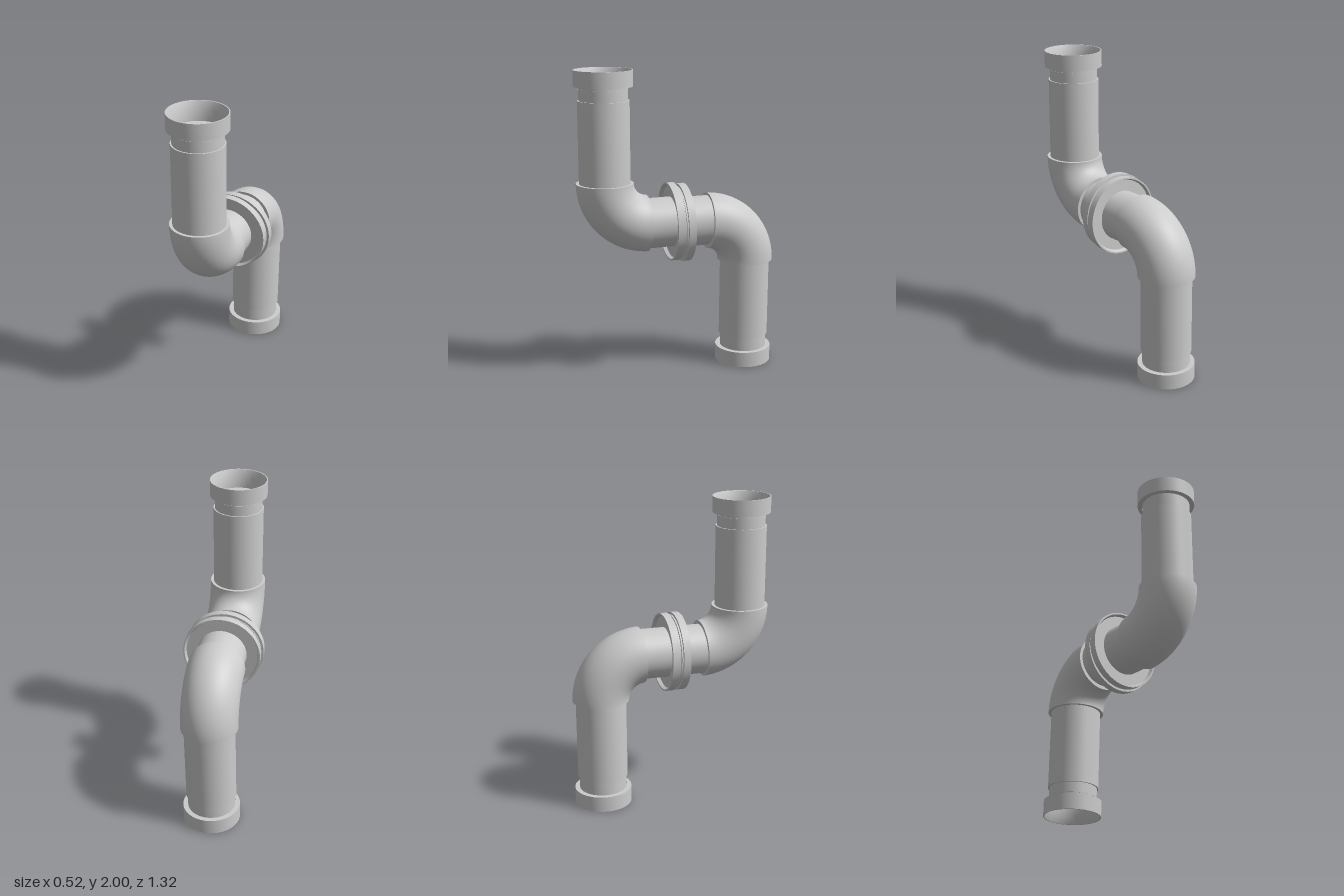
import * as THREE from 'three';
import { toCreasedNormals } from 'three/addons/utils/BufferGeometryUtils.js';

const material = new THREE.MeshStandardMaterial({ color: 0xcccccc });

function part(name, geometry, parent) {
  const mesh = new THREE.Mesh(geometry, material);
  mesh.name = name;
  parent.add(mesh);
  return mesh;
}

// Turned part from [radius, height] pairs, running up the outside
function turned(profile) {
  const points = profile.map(([r, y]) => new THREE.Vector2(r, y));
  return toCreasedNormals(new THREE.LatheGeometry(points, 64), 0.4);
}

// One half of the fitting, from the flange joint at the origin to the socket at y = 1
function pipeHalf(name) {
  const half = new THREE.Group();
  half.name = name;

  // Straight pipe with a narrower neck
  part('verticalPipe', turned([
    [0.164, 0.27], [0.164, 0.81], [0.155, 0.81], [0.155, 0.91],
  ]), half).position.z = 0.474;

  // Socket collar with a flared mouth and a closed floor
  part('socketCollar', turned([
    [0.15, 0.897], [0.187, 0.897], [0.187, 1], [0.18, 1],
    [0.159, 0.95], [0.157, 0.88], [0, 0.88],
  ]), half).position.z = 0.474;

  // Elbow, built in its own plane then turned so it runs from vertical to horizontal
  const bend = 0.279, tube = 0.184, arc = 1.54;
  const elbow = new THREE.Group();
  elbow.name = 'elbow';
  elbow.quaternion.setFromRotationMatrix(new THREE.Matrix4().makeBasis(
    new THREE.Vector3(0, 0, 1), new THREE.Vector3(0, -1, 0), new THREE.Vector3(1, 0, 0)));
  elbow.position.set(0, 0.284, 0.195);
  part('elbowBend', new THREE.TorusGeometry(bend, tube, 64, 40, arc), elbow);
  for (const [angle, sign] of [[0, -1], [arc, 1]]) {
    const end = part('elbowEnd', new THREE.CircleGeometry(tube, 64), elbow);
    end.position.set(bend * Math.cos(angle), bend * Math.sin(angle), 0);
    end.quaternion.setFromUnitVectors(new THREE.Vector3(0, 0, 1),
      new THREE.Vector3(-Math.sin(angle) * sign, Math.cos(angle) * sign, 0));
  }
  half.add(elbow);

  // Short horizontal pipe and dished flange, tipped very slightly
  const joint = new THREE.Group();
  joint.name = 'joint';
  joint.rotation.x = Math.PI / 2 + 0.015;
  joint.position.y = 0.005;
  part('horizontalPipe', turned([[0.163, 0], [0.163, 0.24]]), joint);
  part('flange', turned([
    [0, 0], [0.24, 0], [0.24, 0.01], [0.255, 0.01], [0.255, 0.058],
    [0.245, 0.058], [0.236, 0.036], [0.16, 0.036],
  ]), joint);
  half.add(joint);
  return half;
}

export function createModel() {
  const model = new THREE.Group();
  model.name = 'pipeFitting';

  const upper = pipeHalf('upperHalf');
  upper.position.set(-0.004, 1, 0);

  // Same half turned over, leaning slightly sideways
  const lower = pipeHalf('lowerHalf');
  lower.rotation.set(Math.PI, 0, -0.018, 'ZXY');
  lower.position.set(0.008, 1.003, 0);

  model.add(upper, lower);
  return model;
}
